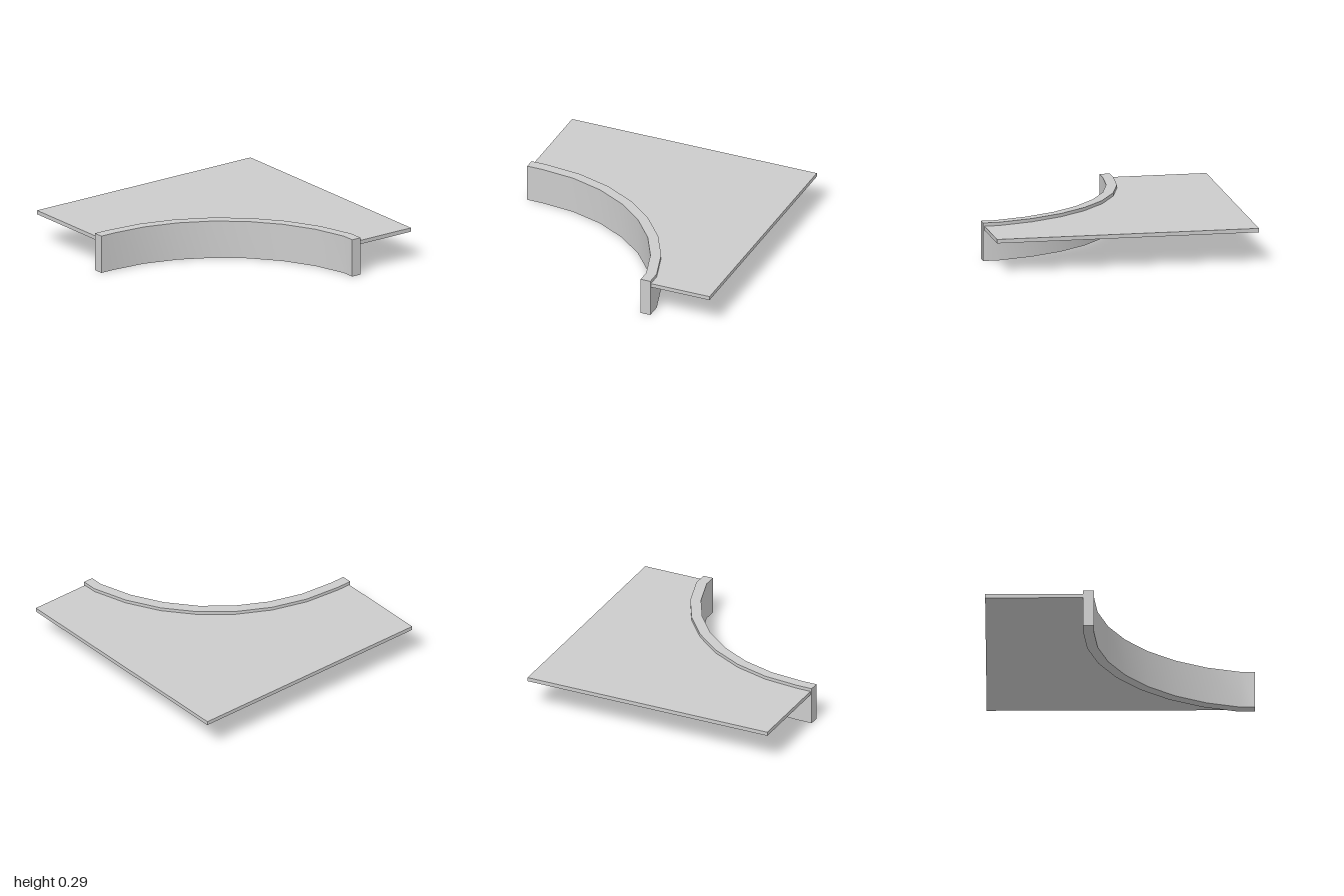
import * as THREE from 'three';
import { toCreasedNormals } from 'three/addons/utils/BufferGeometryUtils.js';

const CX = 1.16, CZ = 0.88;          // centre of the curve in plan
const R_INNER = 1.35, R_OUTER = 1.43;
const STEP = Math.PI / 16;

// Plan curve as [x, z] points: straight lead-in, seven facets, straight run-out
function curve(radius, end) {
  const points = [[CX - radius, end]];
  for (let i = 0; i <= 7; i++) {
    points.push([CX - radius * Math.cos(i * STEP), CZ - radius * Math.sin(i * STEP)]);
  }
  points.push([end, points[8][1]]);
  return points;
}

// Extrude a plan outline from height y0 to y1
function slab(name, outline, y0, y1, material) {
  const shape = new THREE.Shape(outline.map(([x, z]) => new THREE.Vector2(x, -z)));
  const geometry = new THREE.ExtrudeGeometry(shape, { depth: y1 - y0, bevelEnabled: false });
  geometry.rotateX(-Math.PI / 2).translate(0, y0, 0);
  const mesh = new THREE.Mesh(toCreasedNormals(geometry, Math.PI / 6), material);
  mesh.name = name;
  return mesh;
}

export function createModel() {
  const group = new THREE.Group();
  group.name = 'curvedCornerPanel';
  const material = new THREE.MeshStandardMaterial({ color: 0xcccccc });

  // Thin plate with a curved cut-out corner
  const plate = [...curve(R_OUTER, 0.99), [0.99, -1], [-1, -1], [-1, 0.99]];
  group.add(slab('plate', plate, 0.235, 0.265, material));

  // Curved wall along the cut-out, standing slightly proud of the plate
  const wall = [...curve(R_OUTER, 1), ...curve(R_INNER, 1).reverse()];
  group.add(slab('curvedWall', wall, 0, 0.29, material));

  return group;
}
